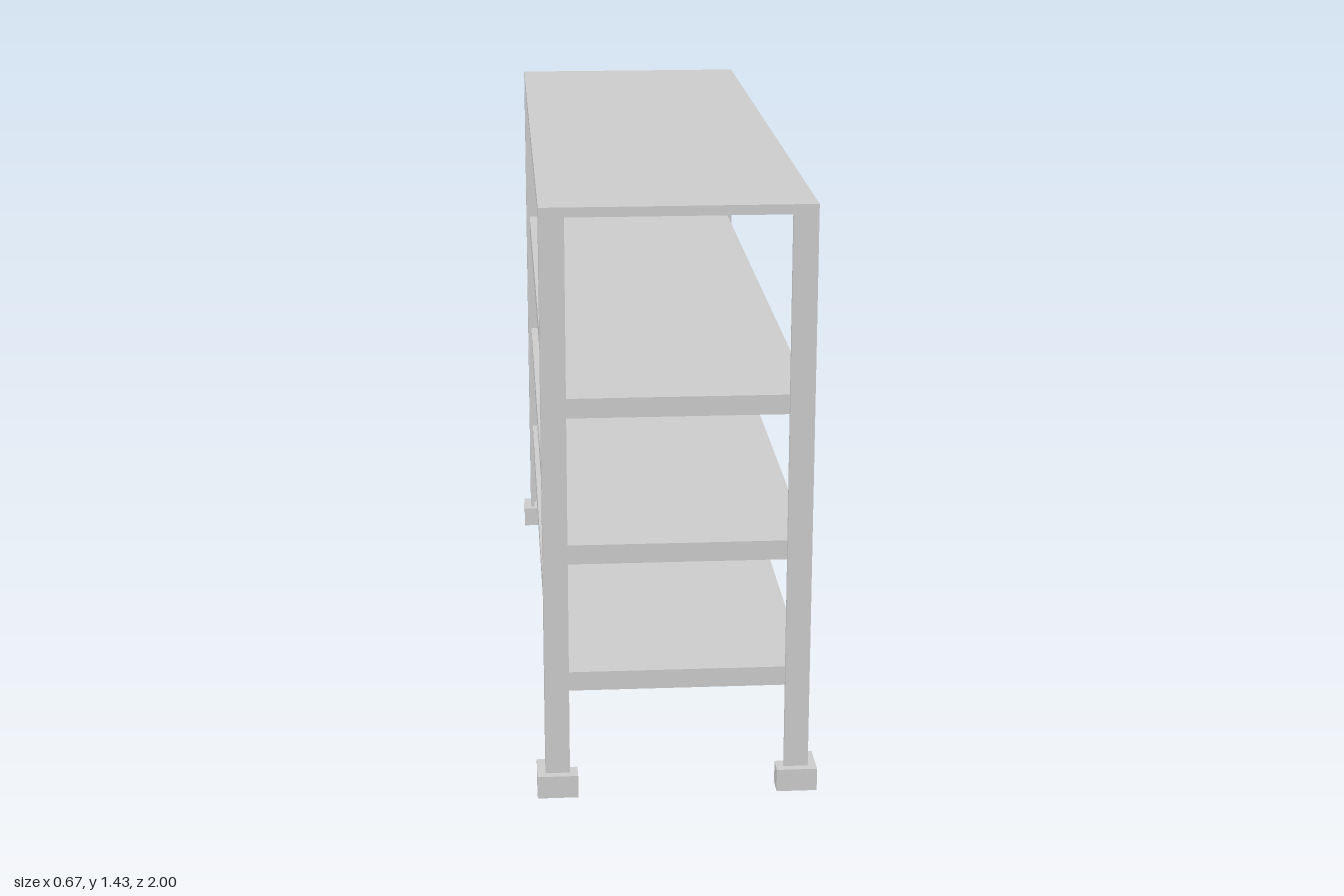
import * as THREE from 'three';

const HX = 0.315, HZ = 0.98;   // outer faces of the uprights
const T = 0.01;                // angle-iron thickness
const TOP = 1.433, TOP_T = 0.023;

const material = new THREE.MeshStandardMaterial({ color: 0xcccccc, flatShading: true });

function box(name, w, h, d, y) {
  const mesh = new THREE.Mesh(new THREE.BoxGeometry(w, h, d), material);
  mesh.name = name;
  mesh.position.y = y + h / 2;
  return mesh;
}

// Upright L-section for the corner (sx, sz): outer corner at (x, z), arms pointing inwards
function angle(name, sx, sz, x, z, arm, thick, y0, y1) {
  const pts = [[0, 0], [arm, 0], [arm, thick], [thick, thick], [thick, arm], [0, arm]]
    .map(([a, b]) => new THREE.Vector2(sx * (x - a), -sz * (z - b)));
  const geo = new THREE.ExtrudeGeometry(new THREE.Shape(pts), { depth: y1 - y0, bevelEnabled: false });
  geo.rotateX(-Math.PI / 2);
  const mesh = new THREE.Mesh(geo, material);
  mesh.name = name;
  mesh.position.y = y0;
  return mesh;
}

export function createModel() {
  const rack = new THREE.Group();
  rack.name = 'shelvingRack';

  // Thin top panel covering the uprights
  rack.add(box('topPanel', HX * 2, TOP_T, HZ * 2, TOP - TOP_T));

  // Three thicker shelves nested inside the angle irons
  [0.264, 0.583, 0.939].forEach((y, i) =>
    rack.add(box(`shelf${i + 1}`, (HX - T) * 2, 0.047, (HZ - T) * 2, y)));

  // Four corner uprights, each standing in an L-shaped foot
  for (const sx of [-1, 1]) for (const sz of [-1, 1]) {
    const corner = (sz > 0 ? 'front' : 'back') + (sx > 0 ? 'Left' : 'Right');
    rack.add(angle(corner + 'Leg', sx, sz, HX, HZ, 0.058, T, 0.01, TOP - TOP_T));
    rack.add(angle(corner + 'Foot', sx, sz, HX + 0.02, HZ + 0.02, 0.097, 0.05, 0, 0.056));
  }
  return rack;
}
